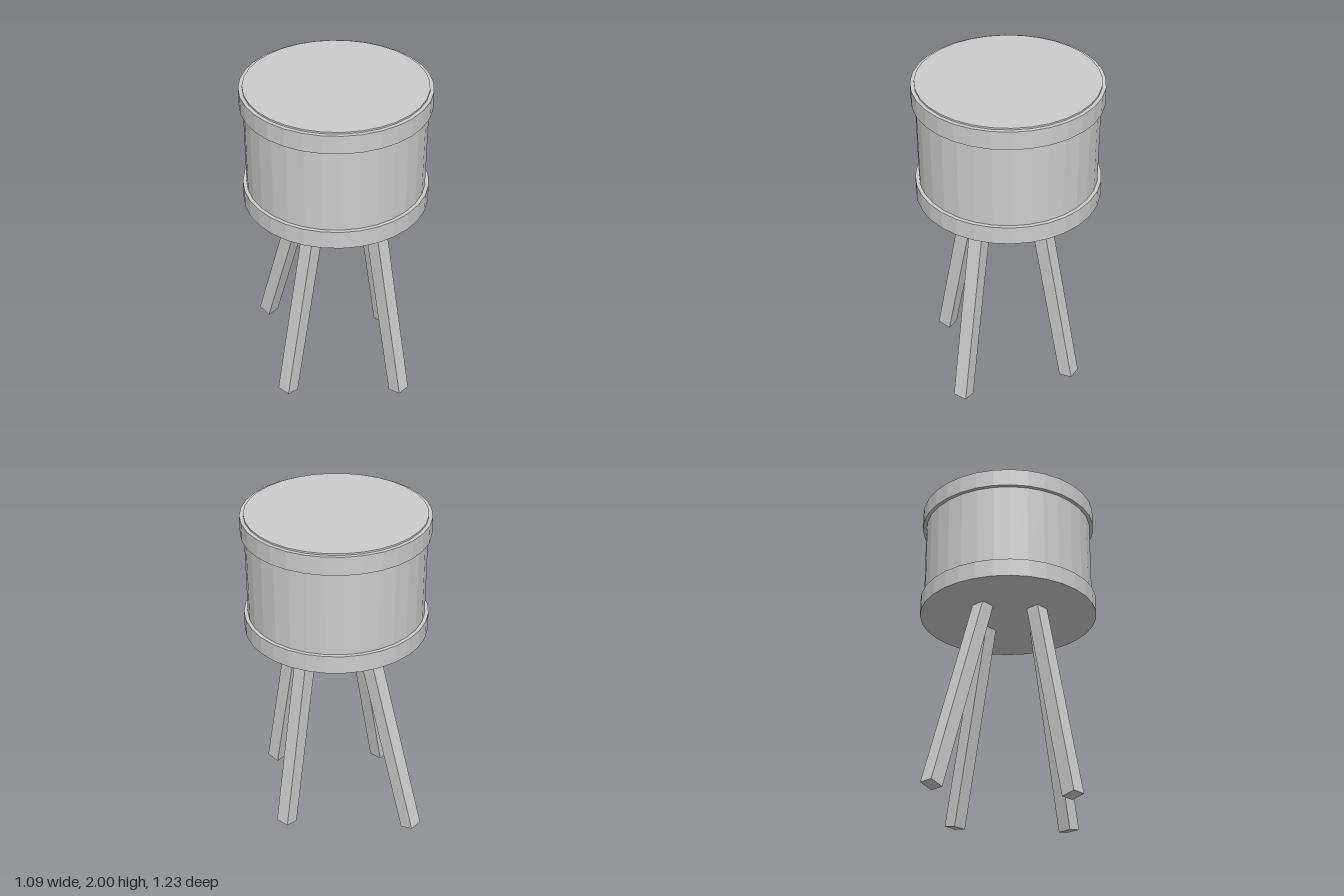
import * as THREE from 'three';

const SIDES = 32;
const CENTRE_Z = 0.038;

export function createModel() {
  const model = new THREE.Group();
  const material = new THREE.MeshStandardMaterial({ color: 0xcccccc, flatShading: true });

  const add = (name, geometry) => {
    const mesh = new THREE.Mesh(geometry, material);
    mesh.name = name;
    model.add(mesh);
    return mesh;
  };

  // Faceted upright cylinder between two heights
  const drum = (name, radius, bottom, top) => {
    const mesh = add(name, new THREE.CylinderGeometry(radius, radius, top - bottom, SIDES));
    mesh.position.set(0, (bottom + top) / 2, CENTRE_Z);
  };
  drum('drumBody', 0.525, 1.27, 2.0);
  drum('topHoop', 0.547, 1.88, 1.99);
  drum('bottomHoop', 0.547, 1.26, 1.37);

  // Square leg from its foot up to just inside the drum
  const leg = (name, foot, top) => {
    const a = new THREE.Vector3(...foot);
    const b = new THREE.Vector3(...top);
    const axis = b.clone().sub(a);
    b.addScaledVector(axis, 0.04);
    const mesh = add(name, new THREE.BoxGeometry(0.087, a.distanceTo(b), 0.087));
    mesh.position.copy(a).add(b).multiplyScalar(0.5);
    mesh.quaternion.setFromUnitVectors(new THREE.Vector3(0, 1, 0), axis.normalize());
  };
  leg('frontLeg', [0, 0.009, 0.573], [0, 1.26, 0.333]);
  leg('backLeg', [0, 0.028, -0.572], [0, 1.26, -0.187]);
  leg('leftLeg', [0.463, 0.012, 0.058], [0.222, 1.26, 0.07]);
  leg('rightLeg', [-0.471, 0.011, 0.058], [-0.211, 1.26, 0.07]);

  return model;
}
